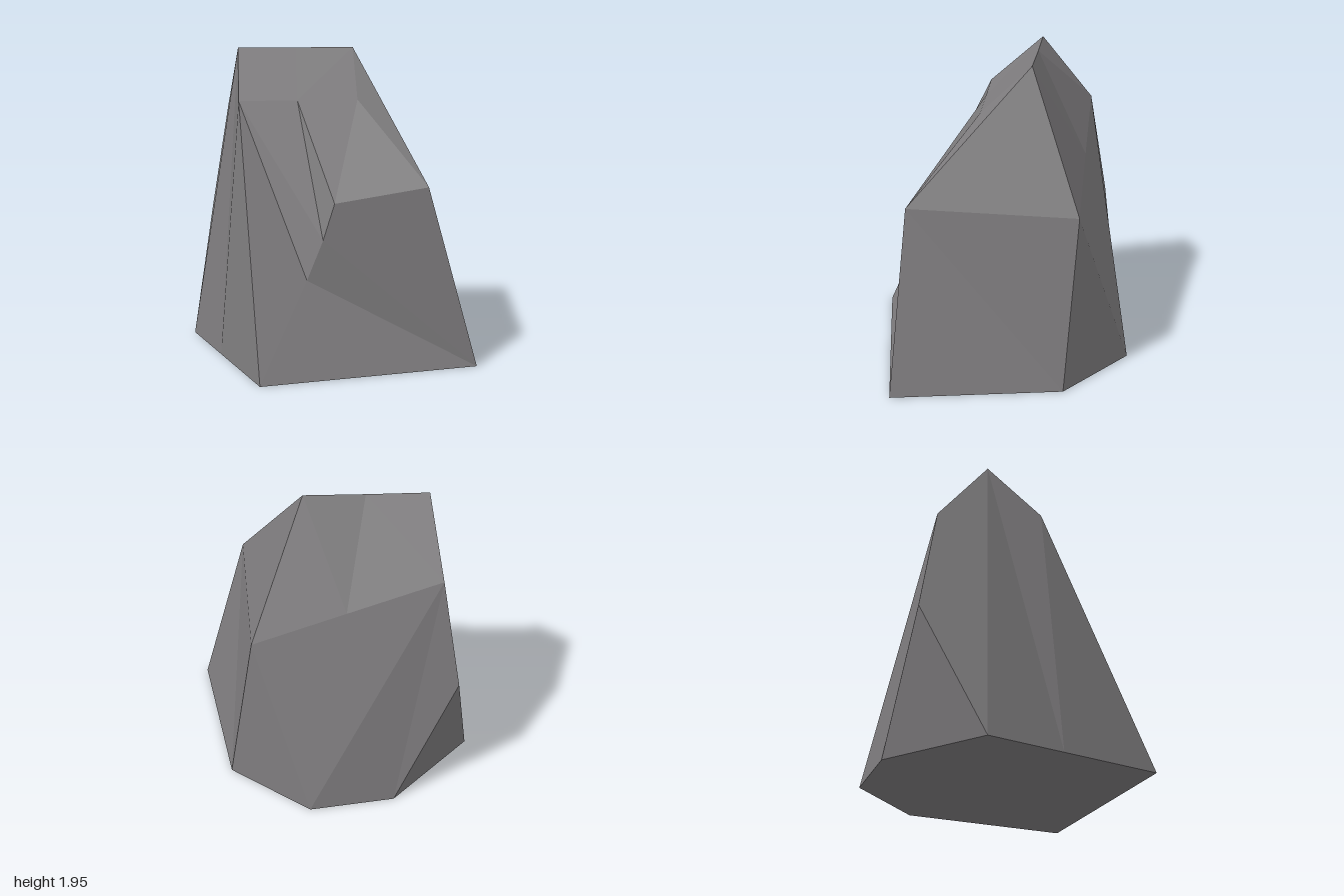
import * as THREE from 'three';

// Corner points of the boulder
const corners = {
  // ridge
  ridgeL: [-0.28, 1.95, -0.54], ridgeMid: [0.02, 1.95, -0.305], ridgeR: [0.31, 1.95, -0.07],
  // shoulder below the ridge, and the knee in front of it
  shoulderL: [-0.5, 1.64, -0.27], shoulderMid: [-0.2, 1.64, -0.05], shoulderR: [0.11, 1.64, 0.18],
  knee: [0.17, 1.14, 0.75], kneeL: [-0.3, 1.05, 0.4],
  notch: [-0.36, 0.82, 0.36], notchLow: [-0.44, 0.57, 0.3],
  // right and back
  sideR: [0.775, 1.1, -0.12], backMid: [0.32, 1.315, -0.48],
  backTop: [-0.13, 1.53, -0.84], backBulge: [-0.15, 0.83, -1.0],
  // base outline
  front: [0.37, 0, 1.0], right: [0.87, 0, 0.04], backR: [0.71, 0, -0.58],
  back: [0.24, 0, -0.86], backL: [-0.5, 0, -0.78], leftMid: [-0.66, 0, -0.29], left: [-0.87, 0, 0.35],
};

// Facets, each a polygon filled as a fan from its first corner
const facets = [
  'shoulderMid shoulderR ridgeR ridgeMid ridgeL shoulderL',
  'ridgeR shoulderR knee sideR',
  'knee front right sideR',
  'sideR right backR backMid',
  'ridgeR sideR backMid ridgeMid',
  'ridgeMid backMid backTop ridgeL',
  'backTop backMid backR back backBulge',
  'ridgeL backTop backBulge backL',
  'backBulge back backL',
  'ridgeL backL leftMid shoulderL',
  'shoulderL leftMid left',
  'shoulderL left notchLow',
  'left front notchLow',
  'front knee kneeL notch notchLow',
  'shoulderL notchLow notch shoulderMid',
  'shoulderMid notch kneeL',
  'shoulderMid kneeL shoulderR',
  'shoulderR kneeL knee',
  'front right backR back backL leftMid left',
];

// Builds flat facets, turning every triangle away from the core
function facetGeometry(core) {
  const points = [];
  for (const facet of facets) {
    const ring = facet.split(' ').map((name) => new THREE.Vector3(...corners[name]));
    for (let i = 1; i < ring.length - 1; i++) {
      const tri = new THREE.Triangle(ring[0], ring[i], ring[i + 1]);
      const normal = tri.getNormal(new THREE.Vector3());
      const outward = tri.getMidpoint(new THREE.Vector3()).sub(core);
      points.push(...(normal.dot(outward) > 0 ? [tri.a, tri.b, tri.c] : [tri.a, tri.c, tri.b]));
    }
  }
  const geometry = new THREE.BufferGeometry().setFromPoints(points);
  geometry.computeVertexNormals();
  return geometry;
}

export function createModel() {
  const group = new THREE.Group();
  group.name = 'rock';

  const stone = new THREE.MeshStandardMaterial({ color: 0x7d7b7d });
  stone.name = 'grey stone';

  const boulder = new THREE.Mesh(facetGeometry(new THREE.Vector3(0, 0.8, -0.1)), stone);
  boulder.name = 'boulder';
  group.add(boulder);
  return group;
}
